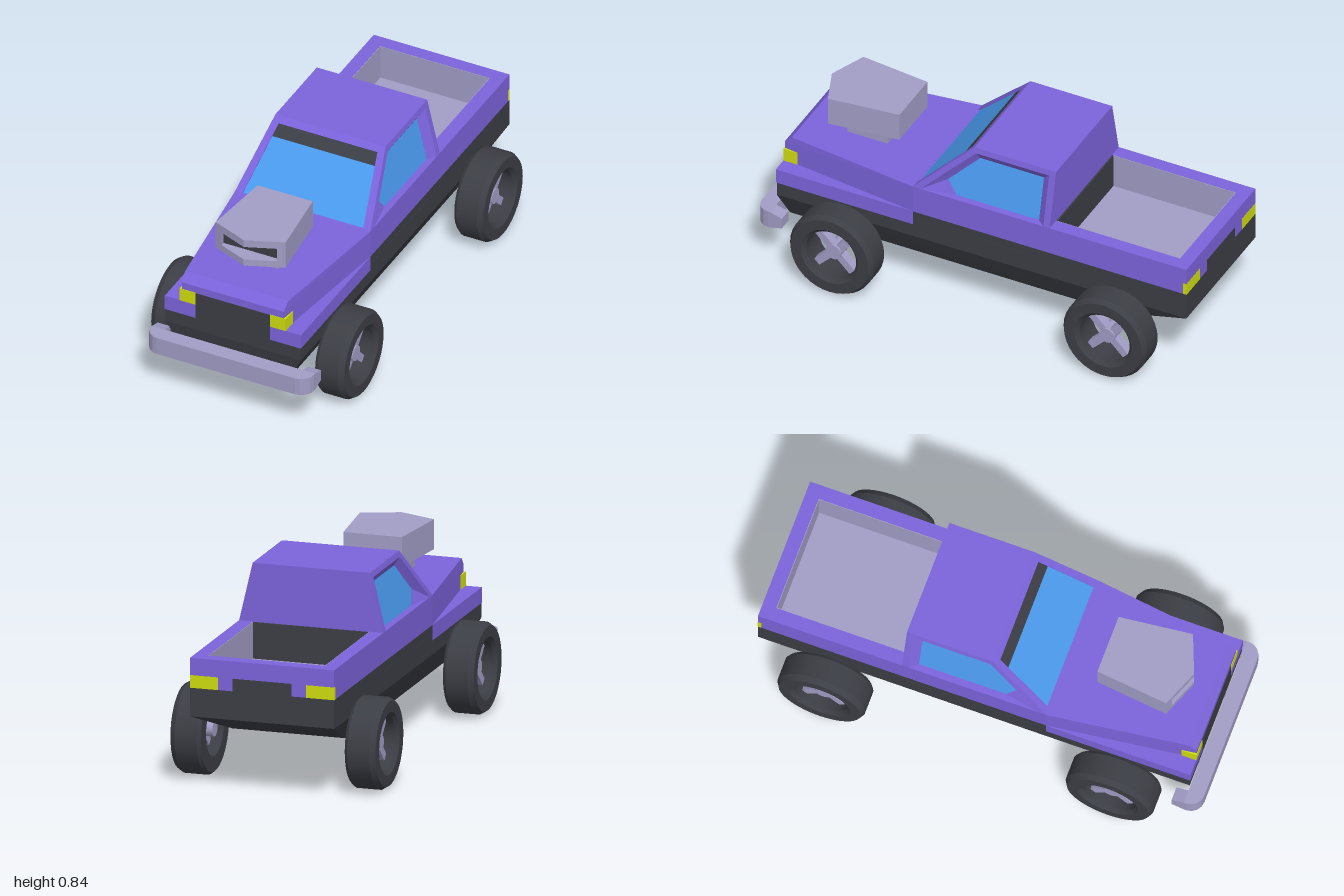
import * as THREE from 'three';
import { toCreasedNormals } from 'three/addons/utils/BufferGeometryUtils.js';
import { ConvexGeometry } from 'three/addons/geometries/ConvexGeometry.js';

const mat = (color) => new THREE.MeshStandardMaterial({ color });
const sheet = (color) => new THREE.MeshStandardMaterial({ color, side: THREE.DoubleSide });
const PURPLE = 0x7c64dc, DARK = 0x3c3e45, METAL = 0xa29dc6, BLUE = 0x4b9bf0, YELLOW = 0xcfde0e;
const V = (x, y, z) => new THREE.Vector3(x, y, z);

export function createModel() {
  const truck = new THREE.Group();
  truck.name = 'pickupTruck';

  const add = (name, geometry, material, parent = truck) => {
    const mesh = new THREE.Mesh(geometry, material);
    mesh.name = name;
    parent.add(mesh);
    return mesh;
  };
  // Box given by its limits on each axis
  const box = (name, color, [x0, x1], [y0, y1], [z0, z1]) => {
    const g = new THREE.BoxGeometry(Math.abs(x1 - x0), y1 - y0, z1 - z0);
    g.translate((x0 + x1) / 2, (y0 + y1) / 2, (z0 + z1) / 2);
    return add(name, g, mat(color));
  };
  // Convex solid from points mirrored in x
  const hull = (name, color, half) => {
    const pts = half.flatMap(([x, y, z]) => [V(x, y, z), V(-x, y, z)]);
    return add(name, new ConvexGeometry(pts), mat(color));
  };
  // Flat polygon as a triangle fan
  const polygon = (name, color, pts) => {
    const tris = [];
    for (let i = 1; i < pts.length - 1; i++) tris.push(pts[0], pts[i], pts[i + 1]);
    const g = new THREE.BufferGeometry().setFromPoints(tris);
    g.computeVertexNormals();
    return add(name, g, sheet(color));
  };
  // Band joining two loops with the same number of points
  const band = (name, color, a, b) => {
    const tris = [];
    a.forEach((p, i) => {
      const j = (i + 1) % a.length;
      tris.push(p, a[j], b[j], p, b[j], b[i]);
    });
    const g = new THREE.BufferGeometry().setFromPoints(tris);
    g.computeVertexNormals();
    return add(name, g, sheet(color));
  };
  // Plan outline (x, z) extruded upwards from y0 to y1
  const slab = (name, color, outline, y0, y1) => {
    const shape = new THREE.Shape(outline.map(([x, z]) => new THREE.Vector2(x, -z)));
    const g = new THREE.ExtrudeGeometry(shape, { depth: y1 - y0, bevelEnabled: false });
    g.rotateX(-Math.PI / 2).translate(0, y0, 0);
    return add(name, g, mat(color));
  };

  // Chassis and lower body
  hull('chassis', DARK, [
    [0.32, 0.42, 0.932], [0.32, 0.42, -1], [0.32, 0.33, 0.932], [0.32, 0.335, -1],
    [0.25, 0.2, 0.905], [0.25, 0.2, -0.65],
  ]);
  box('chassisTop', DARK, [-0.319, 0.319], [0.42, 0.46], [-0.355, 0.93]);
  box('grille', DARK, [-0.175, 0.175], [0.39, 0.52], [0.8, 0.937]);

  // Main body and tapering hood
  box('cabinLowerBody', PURPLE, [-0.32, 0.32], [0.46, 0.59], [-0.355, 0.29]);
  hull('hood', PURPLE, [
    [0.32, 0.46, 0.29], [0.32, 0.59, 0.29], [0.243, 0.59, 0.9],
    [0.24, 0.555, 0.935], [0.24, 0.46, 0.935],
  ]);

  // Truck bed
  box('bedFloor', METAL, [-0.26, 0.26], [0.41, 0.43], [-0.94, -0.36]);
  box('bedFrontWall', DARK, [-0.26, 0.26], [0.42, 0.588], [-0.362, -0.35]);
  box('tailgate', PURPLE, [-0.32, 0.32], [0.46, 0.59], [-1, -0.94]);
  box('tailgateBase', DARK, [-0.32, 0.32], [0.42, 0.46], [-1, -0.94]);
  box('tailgateLiner', METAL, [-0.26, 0.26], [0.43, 0.589], [-0.941, -0.937]);
  box('rearPlate', DARK, [-0.13, 0.13], [0.459, 0.515], [-1.001, -0.98]);

  for (const s of [1, -1]) {
    const side = s > 0 ? 'left' : 'right';
    box(side + 'BedRail', PURPLE, [s * 0.26, s * 0.32], [0.46, 0.59], [-0.94, -0.355]);
    box(side + 'BedRailBase', DARK, [s * 0.26, s * 0.32], [0.42, 0.46], [-0.94, -0.355]);
    box(side + 'BedLiner', METAL, [s * 0.257, s * 0.261], [0.43, 0.589], [-0.94, -0.36]);
    box(side + 'FrontFender', PURPLE, [s * 0.175, s * 0.321], [0.393, 0.461], [0.29, 0.936]);
    box(side + 'Headlight', YELLOW, [s * 0.176, s * 0.25], [0.461, 0.522], [0.87, 0.937]);
    box(side + 'TailLight', YELLOW, [s * 0.195, s * 0.3205], [0.46, 0.515], [-1.001, -0.985]);

    // Cabin side with a sunken window
    const onSide = (inset) => ([z, y]) => V(s * (0.32 - (y - 0.59) * 0.235 - inset), y, z);
    const edge = [[0.29, 0.59], [0.29, 0.59], [0.03, 0.845], [-0.355, 0.845], [-0.355, 0.59]].map(onSide(0));
    const rim = [[0.255, 0.59], [0.255, 0.59], [0.02, 0.82], [-0.325, 0.82], [-0.325, 0.59]];
    const pane = [[0.1, 0.591], [0.145, 0.65], [0.01, 0.785], [-0.29, 0.785], [-0.29, 0.591]].map(onSide(0.03));
    band(side + 'DoorFrame', PURPLE, edge, rim.map(onSide(0)));
    band(side + 'WindowSurround', PURPLE, rim.map(onSide(0)), pane);
    polygon(side + 'Window', BLUE, pane);
  }

  // Cabin roof, back and windshield
  polygon('roof', PURPLE, [V(-0.26, 0.845, 0.03), V(0.26, 0.845, 0.03), V(0.26, 0.845, -0.355), V(-0.26, 0.845, -0.355)]);
  polygon('cabinBack', PURPLE, [V(0.32, 0.59, -0.355), V(-0.32, 0.59, -0.355), V(-0.26, 0.845, -0.355), V(0.26, 0.845, -0.355)]);
  const onFront = (inset) => ([x, y]) => V(x, y, 0.29 - (y - 0.59) * 1.02 - inset);
  const trapezoid = (xb, yb, xt, yt) => [[-xb, yb], [xb, yb], [xt, yt], [-xt, yt]];
  const opening = trapezoid(0.285, 0.591, 0.233, 0.822);
  band('windshieldFrame', PURPLE, trapezoid(0.32, 0.59, 0.26, 0.845).map(onFront(0)), opening.map(onFront(0)));
  band('windshieldLip', PURPLE, opening.map(onFront(0)), opening.map(onFront(0.008)));
  polygon('windshield', BLUE, trapezoid(0.285, 0.591, 0.243, 0.777).map(onFront(0.008)));
  polygon('sunStrip', DARK, trapezoid(0.243, 0.777, 0.233, 0.822).map(onFront(0.008)));

  // Engine intake with a pointed front and a recessed mouth
  box('intakeBase', METAL, [-0.1, 0.1], [0.58, 0.656], [0.52, 0.71]);
  const plan = [[-0.13, 0.45], [-0.165, 0.77], [0, 0.835], [0.165, 0.77], [0.13, 0.45]];
  slab('intakeBottom', METAL, plan, 0.655, 0.686);
  slab('intakeTop', METAL, plan, 0.75, 0.785);
  slab('intakeMiddle', METAL, [
    [-0.13, 0.45], [-0.165, 0.77], [-0.13, 0.784], [-0.13, 0.74],
    [0.13, 0.74], [0.13, 0.784], [0.165, 0.77], [0.13, 0.45],
  ], 0.686, 0.75);
  box('intakeMouth', DARK, [-0.13, 0.13], [0.686, 0.75], [0.73, 0.765]);

  // Front bumper with rounded corners and tapered ends
  const outline = [[-0.385, 0.93]];
  for (const s of [-1, 1]) {
    for (let i = 0; i <= 4; i++) {
      const a = ((s < 0 ? i : 4 - i) / 4) * Math.PI / 2;
      outline.push([s * (0.325 + 0.06 * Math.cos(a)), 0.94 + 0.06 * Math.sin(a)]);
    }
  }
  outline.push([0.385, 0.93]);
  slab('bumper', METAL, outline, 0.2, 0.282);
  for (const s of [1, -1]) {
    const pts = [];
    for (const x of [0.325, 0.385]) {
      pts.push(V(s * x, 0.2, 0.932), V(s * x, 0.282, 0.932), V(s * x, 0.215, 0.875), V(s * x, 0.265, 0.875));
    }
    add('bumperEnd', new ConvexGeometry(pts), mat(METAL));
    box('bumperBracket', METAL, [s * 0.14, s * 0.18], [0.215, 0.265], [0.89, 0.935]);
  }

  // Wheels: open tyre ring, crossed spokes and hub
  const profile = [
    [0.118, 0], [0.185, 0], [0.197, 0.015], [0.197, 0.113], [0.183, 0.136],
    [0.135, 0.136], [0.118, 0.12], [0.118, 0],
  ].map(([r, h]) => new THREE.Vector2(r, h));
  const tyre = toCreasedNormals(new THREE.LatheGeometry(profile, 36), 0.4);
  const hub = new THREE.CylinderGeometry(0.035, 0.035, 0.1, 16).translate(0, 0.05, 0);
  const spoke = new THREE.BoxGeometry(0.24, 0.04, 0.034);
  for (const [end, z] of [['front', 0.615], ['rear', -0.675]]) {
    for (const s of [1, -1]) {
      const wheel = new THREE.Group();
      wheel.name = end + (s > 0 ? 'Left' : 'Right') + 'Wheel';
      add('tyre', tyre, mat(DARK), wheel);
      add('hub', hub, mat(METAL), wheel);
      for (const a of [1, -1]) {
        const bar = add('spoke', spoke, mat(METAL), wheel);
        bar.position.y = 0.07;
        bar.rotation.y = a * Math.PI / 4;
      }
      wheel.rotation.z = -s * Math.PI / 2;
      wheel.position.set(s * 0.319, 0.2, z);
      truck.add(wheel);
    }
  }
  return truck;
}
